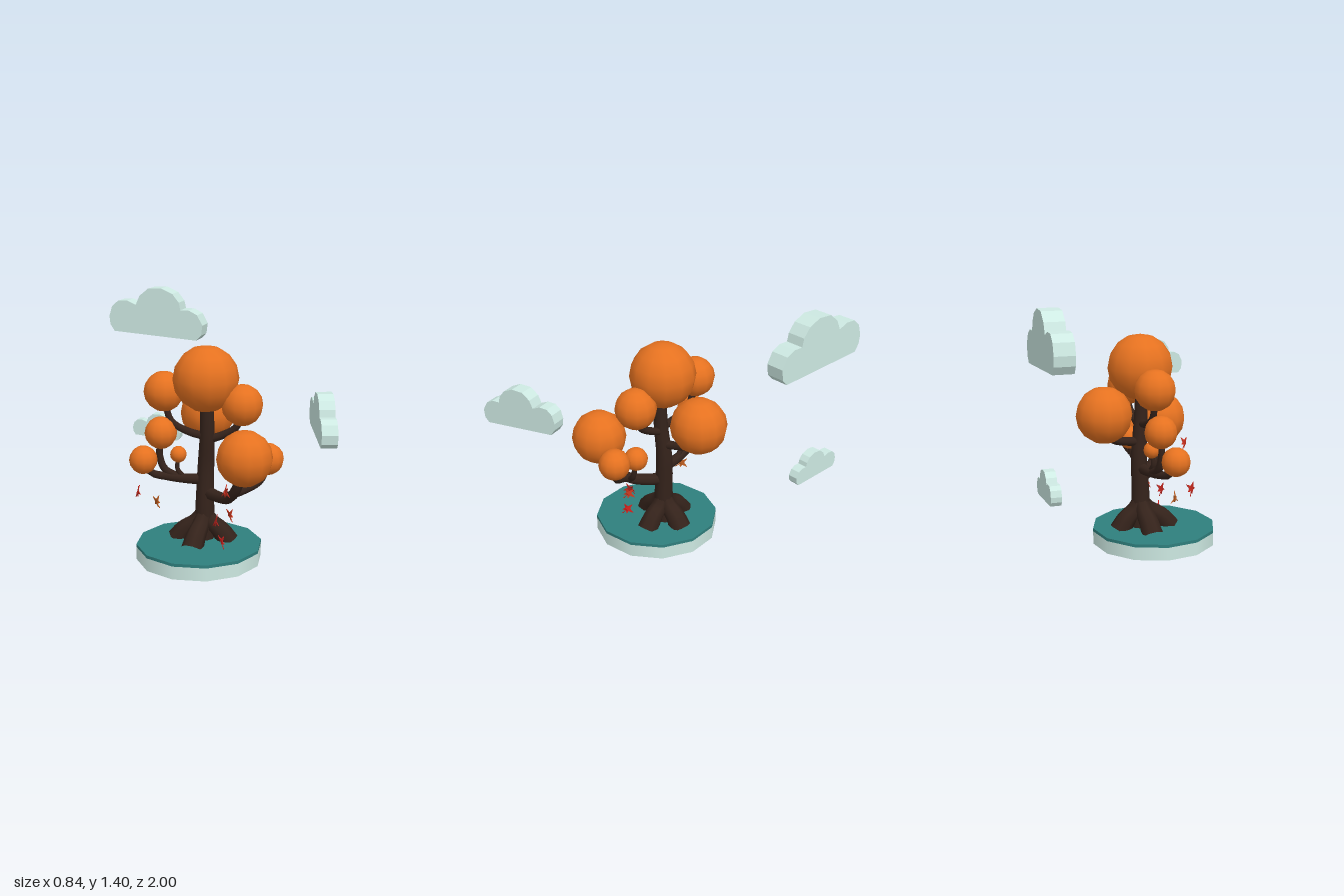
import * as THREE from 'three';

const mat = (color, extra = {}) => new THREE.MeshStandardMaterial({ color, ...extra });
const V = (p) => new THREE.Vector3(...p);

// Tube along a smooth curve, its radius running from r0 to r1
function taperedTube(points, r0, r1, steps = 12, sides = 8) {
  const curve = new THREE.CatmullRomCurve3(points.map(V));
  const geo = new THREE.TubeGeometry(curve, steps, 1, sides);
  const pos = geo.attributes.position, v = new THREE.Vector3();
  for (let i = 0; i < pos.count; i++) {
    const t = Math.floor(i / (sides + 1)) / steps;
    const c = curve.getPointAt(t);
    v.fromBufferAttribute(pos, i).sub(c).multiplyScalar(r0 + (r1 - r0) * t).add(c);
    pos.setXYZ(i, v.x, v.y, v.z);
  }
  return geo;
}

export function createModel() {
  const model = new THREE.Group();
  const mint = mat(0xcde9e2), teal = mat(0x2f7f7d), bark = mat(0x35231b), orange = mat(0xe67220);
  const add = (name, geo, material, parent = model) => {
    const mesh = new THREE.Mesh(geo, material);
    mesh.name = name;
    parent.add(mesh);
    return mesh;
  };

  // Twelve-sided base with a thin ground layer
  add('base', new THREE.CylinderGeometry(0.348, 0.348, 0.073, 12), mint).position.set(-0.075, 0.0365, 0.07);
  add('ground', new THREE.CylinderGeometry(0.348, 0.348, 0.017, 12), teal).position.set(-0.075, 0.0815, 0.07);

  // Trunk
  add('trunk', taperedTube([[-0.01, 0.08, 0.03], [-0.01, 0.25, 0.035], [0, 0.5, 0.032], [-0.005, 0.7, 0.05], [-0.01, 0.92, 0.052]],
    0.058, 0.034, 16, 10), bark);

  // Roots arching down into the ground
  const roots = [[0.08, 0.135], [-0.155, 0.115], [-0.115, -0.08], [0.085, -0.05]];
  for (const [x, z] of roots) {
    const at = (k, y) => [-0.01 + (x + 0.01) * k, y, 0.033 + (z - 0.033) * k];
    add('root', taperedTube([at(0.05, 0.235), at(0.28, 0.185), at(0.7, 0.135), at(1, 0.075)], 0.042, 0.062, 8), bark);
  }

  // Branches: path, start radius, end radius
  const branches = [
    [[[0, 0.36, 0.03], [0, 0.355, 0.12], [-0.005, 0.375, 0.24], [-0.012, 0.45, 0.32], [-0.015, 0.56, 0.36]], 0.036, 0.024],
    [[[0, 0.375, 0.21], [0.07, 0.41, 0.27], [0.16, 0.46, 0.31], [0.2, 0.54, 0.32]], 0.024, 0.017],
    [[[0.04, 0.39, 0.23], [0.09, 0.43, 0.215], [0.11, 0.52, 0.2]], 0.018, 0.014],
    [[[-0.01, 0.43, 0.03], [-0.08, 0.43, -0.04], [-0.16, 0.44, -0.11], [-0.23, 0.46, -0.16], [-0.27, 0.52, -0.18]], 0.032, 0.018],
    [[[-0.11, 0.435, -0.07], [-0.165, 0.48, -0.13], [-0.185, 0.56, -0.15], [-0.18, 0.64, -0.145]], 0.024, 0.018],
    [[[-0.09, 0.435, -0.05], [-0.115, 0.48, -0.075], [-0.11, 0.55, -0.08]], 0.016, 0.011],
    [[[0, 0.58, 0.04], [0.05, 0.59, -0.03], [0.11, 0.615, -0.1], [0.14, 0.68, -0.13]], 0.026, 0.02],
    [[[0, 0.66, 0.045], [0.05, 0.69, 0.11], [0.1, 0.74, 0.17], [0.12, 0.82, 0.19]], 0.024, 0.018],
    [[[-0.01, 0.68, 0.045], [-0.07, 0.7, -0.04], [-0.125, 0.75, -0.12], [-0.145, 0.85, -0.15]], 0.024, 0.018],
  ];
  for (const [path, r0, r1] of branches) add('branch', taperedTube(path, r0, r1), bark);

  // Foliage balls: x, y, z, radius
  const balls = [
    [-0.005, 1.0, 0.038, 0.182], [-0.015, 0.637, 0.39, 0.15], [0.143, 0.757, -0.14, 0.156],
    [0.122, 0.866, 0.195, 0.114], [-0.148, 0.915, -0.155, 0.112], [-0.178, 0.686, -0.145, 0.09],
    [-0.273, 0.539, -0.18, 0.079], [0.203, 0.58, 0.32, 0.087], [0.11, 0.555, 0.198, 0.066],
    [-0.108, 0.566, -0.078, 0.046],
  ];
  for (const [x, y, z, r] of balls)
    add('foliage', new THREE.SphereGeometry(r, 12, 8), orange).position.set(x, y, z);

  // Clouds: one extruded outline at three sizes
  const outline = [[-0.265, -0.12], [-0.292, -0.08], [-0.298, -0.03], [-0.28, 0.03], [-0.24, 0.065], [-0.18, 0.068],
    [-0.125, 0.045], [-0.1, 0.1], [-0.045, 0.145], [0.04, 0.15], [0.11, 0.12], [0.15, 0.07], [0.16, 0.025],
    [0.215, 0.025], [0.265, 0], [0.298, -0.06], [0.29, -0.12], [0.26, -0.152]];
  const cloudGeo = new THREE.ExtrudeGeometry(
    new THREE.Shape(outline.map(([x, y]) => new THREE.Vector2(x, y)).reverse()), { depth: 0.104, bevelEnabled: false });
  cloudGeo.translate(0, 0, -0.052);
  for (const [x, y, z, turn, size] of [
    [0.206, 1.25, -0.73, -0.957, 1], [0.163, 0.925, 0.785, -2.179, 0.757], [0.214, 0.535, -0.76, -0.957, 0.525]]) {
    const cloud = add('cloud', cloudGeo, mint);
    cloud.position.set(x, y, z);
    cloud.rotation.y = turn;
    cloud.scale.setScalar(size);
  }

  // Falling leaves: five pointed lobes, folded a little along the middle, with a stem
  const leafShape = new THREE.Shape();
  for (let i = 0; i < 10; i++) {
    const a = Math.PI / 2 + i * Math.PI / 5, r = i % 2 ? 0.015 : i === 4 || i === 6 ? 0.03 : 0.04;
    leafShape[i ? 'lineTo' : 'moveTo'](Math.cos(a) * r, Math.sin(a) * r);
  }
  const leafGeo = new THREE.ExtrudeGeometry(leafShape, { depth: 0.004, bevelEnabled: false });
  const lp = leafGeo.attributes.position;
  for (let i = 0; i < lp.count; i++) lp.setZ(i, lp.getZ(i) + Math.abs(lp.getX(i)) * 0.35);
  leafGeo.computeVertexNormals();
  const stemGeo = new THREE.CylinderGeometry(0.0025, 0.0025, 0.035, 5).translate(0, -0.027, 0.002);
  const leaves = [
    [-0.35, 0.385, -0.13, 0xc0271c, 1.1, 0.3], [-0.25, 0.312, -0.095, 0xb85a1e, 1.5, -0.6],
    [-0.08, 0.255, 0.22, 0xb5221c, 1.1, 0.4], [0.005, 0.275, 0.235, 0xc9381f, 1.4, -0.5],
    [-0.055, 0.135, 0.24, 0xd0201c, 1.3, -0.5], [-0.165, 0.49, 0.415, 0xc9301f, 1.3, 0.5],
  ];
  for (const [x, y, z, color, turn, roll] of leaves) {
    const leaf = new THREE.Group();
    leaf.name = 'leaf';
    const m = mat(color, { side: THREE.DoubleSide });
    add('leafBlade', leafGeo, m, leaf);
    add('leafStem', stemGeo, m, leaf);
    leaf.position.set(x, y, z);
    leaf.rotation.set(roll, turn, roll * 0.6);
    model.add(leaf);
  }
  return model;
}
